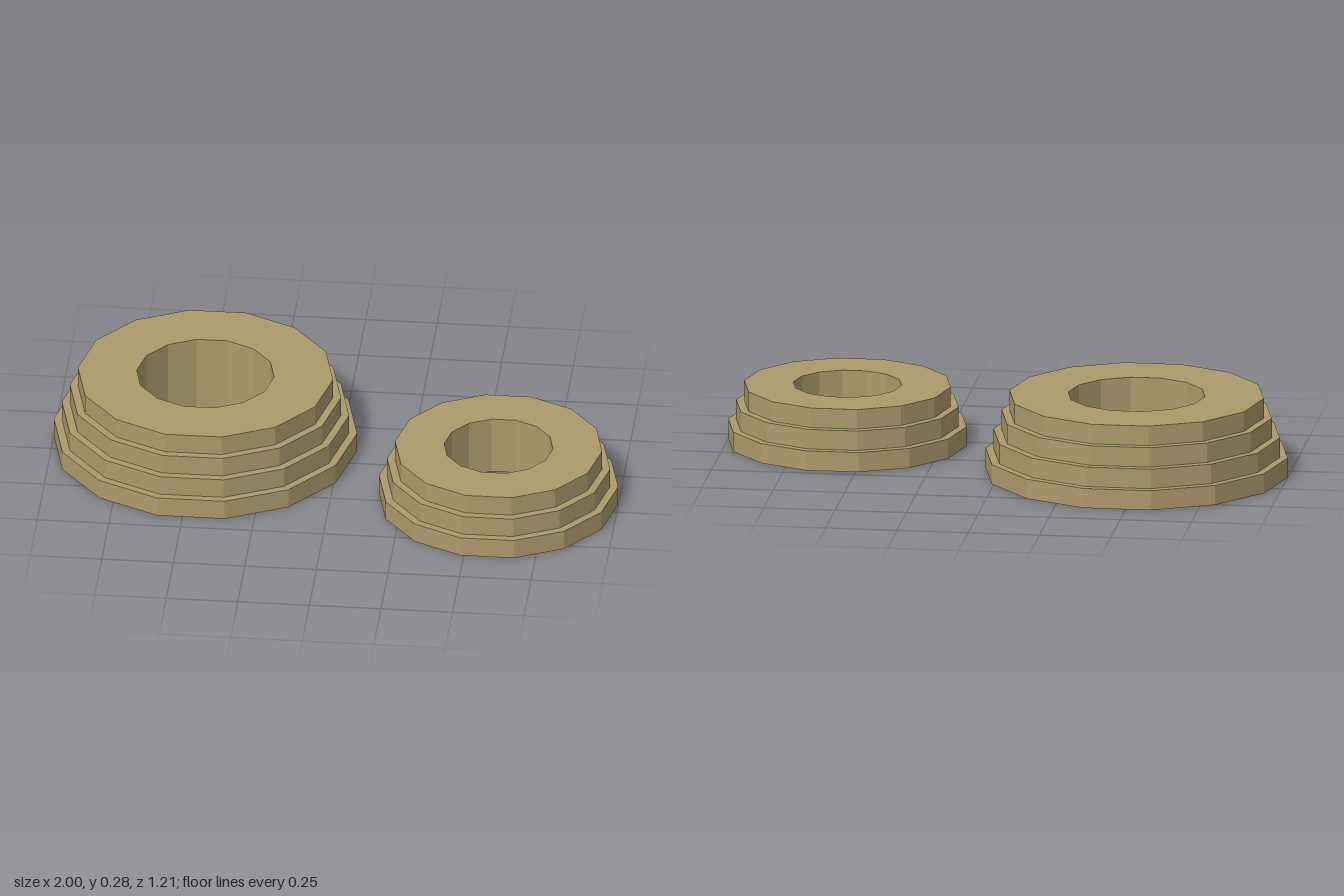
import * as THREE from 'three';

const SIDES = 14;
const LAYER = 0.07; // height of one layer
const STEP = 0.028; // how far each layer is set back

const material = new THREE.MeshStandardMaterial({ color: 0xae9a6c, flatShading: true });

// Stepped ring: the profile climbs the outer steps, then returns down the hole
function steppedRing(name, outer, inner, layers, x, z) {
  const profile = [new THREE.Vector2(inner, 0)];
  for (let i = 0; i < layers; i++) {
    const r = outer - i * STEP;
    profile.push(new THREE.Vector2(r, i * LAYER), new THREE.Vector2(r, (i + 1) * LAYER));
  }
  profile.push(new THREE.Vector2(inner, layers * LAYER), new THREE.Vector2(inner, 0));

  // Starting at a quarter turn puts a corner on the x axis
  const mesh = new THREE.Mesh(new THREE.LatheGeometry(profile, SIDES, Math.PI / 2), material);
  mesh.name = name;
  mesh.position.set(x, 0, z);
  return mesh;
}

export function createModel() {
  const group = new THREE.Group();
  group.name = 'steppedRings';
  group.add(
    steppedRing('largeRing', 0.53, 0.24, 4, -0.47, -0.088),
    steppedRing('smallRing', 0.418, 0.19, 3, 0.582, 0.195)
  );
  return group;
}
